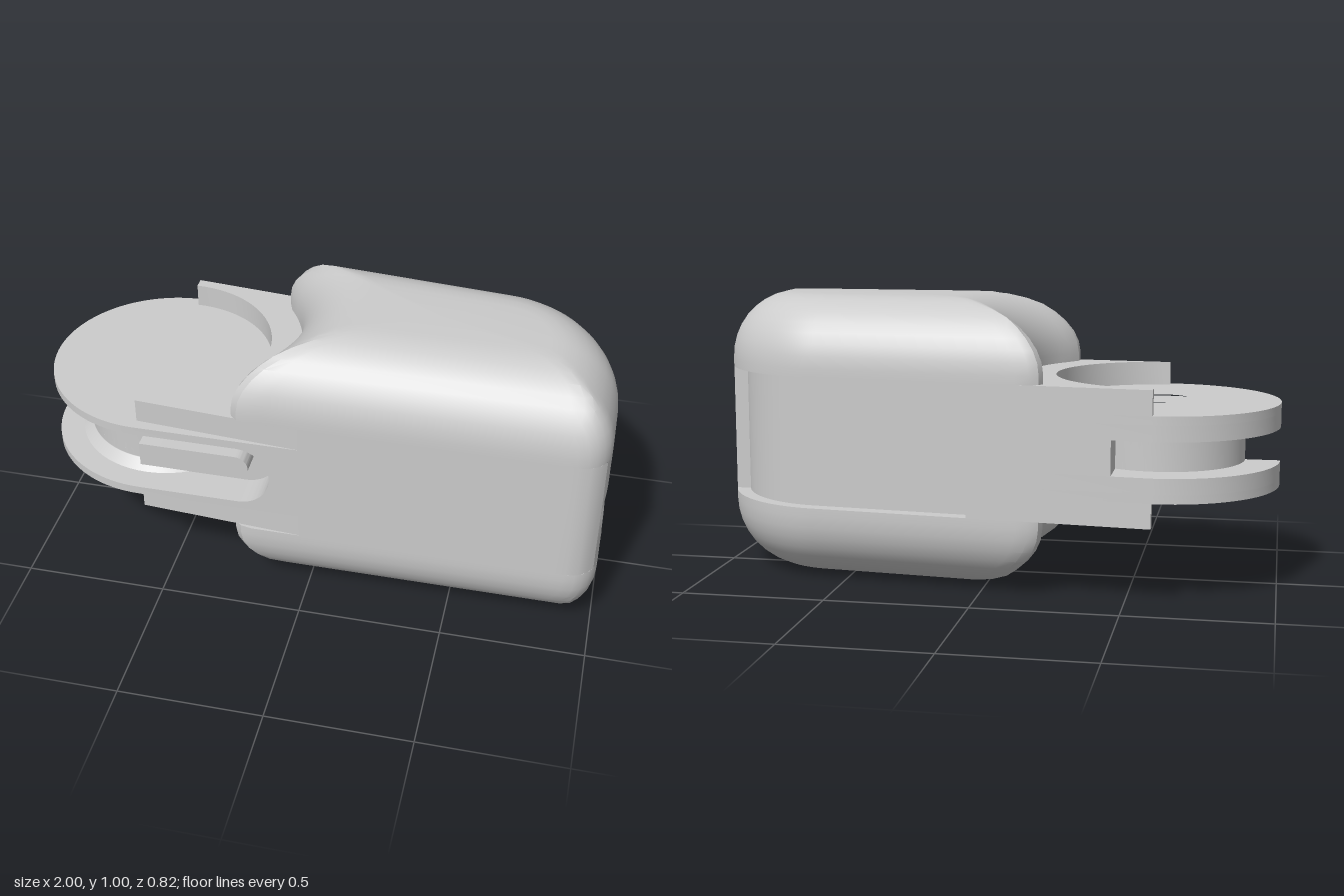
import * as THREE from 'three';
import { toCreasedNormals } from 'three/addons/utils/BufferGeometryUtils.js';

const HUB_X = -0.59, Z = 0.41, CX = 0.4, CZ = 0.05, H = 0.23;
const PI = Math.PI;
const backZ = x => -Z + 0.09 * (x - HUB_X);

// rounded intersection of two distance fields
const rmax = (a, b, r) =>
  Math.min(-r, Math.max(a, b)) + Math.hypot(Math.max(a + r, 0), Math.max(b + r, 0));

// plan outline of the housing as a distance field (negative inside)
function plan(x, z) {
  const corner = rmax((backZ(x) - z) / 1.004, x - 1, 0.4);
  const shell = rmax(corner, z - Z, 0.1);
  return rmax(shell, 0.48 - Math.hypot(x - HUB_X, z), 0.1);
}

// point where a ray from inside meets the outline inset by d
function cast(px, pz, dx, dz, d) {
  let lo = 0, hi = 1.2;
  for (let i = 0; i < 32; i++) {
    const m = (lo + hi) / 2;
    if (plan(px + dx * m, pz + dz * m) + d > 0) hi = m; else lo = m;
  }
  return [px + dx * lo, pz + dz * lo];
}
const polar = (t, d) => cast(CX, CZ, Math.cos(t), Math.sin(t), d);
const angleOf = ([x, z]) => Math.atan2(z - CZ, x - CX);
const surfX = z => cast(CX, z, 1, 0, 0)[0];

// skin between rows of points
function loft(rows, closed, crease = 0.5) {
  const n = rows[0].length, index = [];
  for (let i = 0; i < rows.length - 1; i++) {
    for (let j = 0; j < (closed ? n : n - 1); j++) {
      const k = (j + 1) % n, a = i * n, b = a + n;
      index.push(a + j, b + j, a + k, a + k, b + j, b + k);
    }
  }
  const g = new THREE.BufferGeometry();
  g.setAttribute('position', new THREE.Float32BufferAttribute(rows.flat(2), 3));
  g.setIndex(index);
  return toCreasedNormals(g, crease);
}

const arc = (r, a0, a1, n = 40) => Array.from({ length: n + 1 }, (_, i) => {
  const t = a0 + (a1 - a0) * i / n;
  return [HUB_X + r * Math.cos(t), r * Math.sin(t)];
});

// horizontal slab from [x, z] points, optionally with the axle hole
function slab(pts, y0, y1, hole = true) {
  const shape = new THREE.Shape(pts.map(([x, z]) => new THREE.Vector2(x, -z)));
  if (hole) shape.holes.push(new THREE.Path().absarc(HUB_X, 0, 0.108, 0, 2 * PI, true));
  const g = new THREE.ExtrudeGeometry(shape, { depth: y1 - y0, bevelEnabled: false, curveSegments: 24 });
  g.rotateX(-PI / 2).translate(0, y0, 0);
  return toCreasedNormals(g, 0.5);
}

export function createModel() {
  const model = new THREE.Group();
  const mat = new THREE.MeshStandardMaterial({ color: 0xcccccc });
  const add = (name, geo) => {
    const m = new THREE.Mesh(geo, mat);
    m.name = name;
    model.add(m);
  };

  // housing: rounded lower and upper shells with a ledge facing the middle band
  const N = 160, R = 0.24;
  const ring = (d, y) => Array.from({ length: N }, (_, j) => {
    const [x, z] = polar(j / N * 2 * PI, d);
    return [x, y, z];
  });
  const lower = [Array.from({ length: N }, () => [CX, 0, CZ])];
  for (let i = 0; i <= 9; i++) {
    const t = i / 9 * PI / 2;
    lower.push(ring(R * (1 - Math.sin(t)), R * (1 - Math.cos(t))));
  }
  lower.push(ring(0, 0.5 - H), ring(0.06, 0.5 - H));
  const upper = lower.map(row => row.map(([x, y, z]) => [x, 1 - y, z])).reverse();
  add('lowerShell', loft(lower, true));
  add('upperShell', loft(upper, true));

  // middle band: front wall, and back wall with a shallow window wrapping the corner
  const wall = pts => loft([0.5 - H, 0.5 + H].map(y => pts.map(([x, z]) => [x, y, z])), false);
  const between = (p, q, d, n) => {
    const a = angleOf(p), b = angleOf(q);
    return Array.from({ length: n - 1 }, (_, i) => polar(a + (b - a) * (i + 1) / n, d));
  };
  const z0 = 0.005, z1 = 0.355, depth = 0.05;
  const frontStart = [surfX(z1), z1], frontEnd = [-0.02, Z];
  add('frontWall', wall([frontStart, ...between(frontStart, frontEnd, 0, 40), frontEnd]));
  const innerA = cast(0.04, 0, 0, -1, depth), innerB = cast(CX, z0, 1, 0, depth);
  add('backWindow', wall([
    [-0.02, backZ(-0.02)], cast(0.04, 0, 0, -1, 0),
    innerA, ...between(innerA, innerB, depth, 40), innerB, [surfX(z0), z0],
  ]));

  // side wall with the blind bore and its softened lip
  const M = 48, zc = (z0 + z1) / 2, clamp = v => Math.max(-1, Math.min(1, v * 1.41422));
  const boreRow = (r, xOf) => Array.from({ length: M }, (_, j) => {
    const t = j / M * 2 * PI, z = zc + r * Math.sin(t);
    return [xOf(z), 0.5 + r * Math.cos(t), z];
  });
  const rows = [];
  for (let i = 0; i <= 5; i++) {
    const t = i / 5 * PI / 2;
    rows.push(boreRow(0.06 * Math.sin(t), () => 0.31 - 0.06 * Math.cos(t)));
  }
  rows.push(boreRow(0.06, () => 0.35), boreRow(0.15, () => 0.35));
  rows.push(boreRow(0.15, z => surfX(z) - 0.02), boreRow(0.156, z => surfX(z) - 0.006));
  rows.push(boreRow(0.17, surfX));
  rows.push(Array.from({ length: M }, (_, j) => {
    const t = j / M * 2 * PI, z = zc + (z1 - z0) / 2 * clamp(Math.sin(t));
    return [surfX(z), 0.5 + H * clamp(Math.cos(t)), z];
  }));
  add('sideBore', loft(rows, true));

  // arm layers, mirrored about mid height
  const bz = backZ(0), floor = 0.29;
  const ear = [[0, Z], [0, bz], [HUB_X, -Z], ...arc(0.37, -PI / 2, PI / 2)];
  const flange = [[0, Z], ...arc(Z, PI / 2, 1.5 * PI, 48), [0, bz]];
  const lip = [[0, floor], ...arc(floor, PI / 2, PI, 20), ...arc(Z, PI, 1.5 * PI, 24), [0, bz]];
  const mirrored = (name, pts, a, b, hole) => {
    add('upper' + name, slab(pts, 0.5 + a, 0.5 + b, hole));
    add('lower' + name, slab(pts, 0.5 - b, 0.5 - a, hole));
  };
  mirrored('Ear', ear, 0.145, H, false);
  mirrored('Flange', flange, 0.115, 0.145, true);
  mirrored('GrooveLip', lip, 0.06, 0.115, true);

  // core between the lips, leaving the narrow slot round the back
  const slotX = -0.455, slotAngle = 2 * PI - Math.acos((slotX - HUB_X) / floor);
  add('armCore', slab([[0, floor], ...arc(floor, PI / 2, slotAngle),
    [slotX, backZ(slotX)], [0, bz]], 0.44, 0.56));

  // fillets where the hub meets the flanges
  const profile = [];
  for (const s of [-1, 1]) {
    for (let i = 0; i <= 5; i++) {
      const t = (s < 0 ? i : 5 - i) / 5 * PI / 2;
      profile.push(new THREE.Vector2(0.325 - 0.035 * Math.sin(t), s * (0.08 + 0.035 * (1 - Math.cos(PI / 2 - t)))));
    }
  }
  const hub = new THREE.LatheGeometry(profile, 64);
  add('hubFillet', hub.translate(HUB_X, 0.5, 0));

  // round end of the front groove
  const end = new THREE.Shape();
  end.moveTo(0, -0.115).lineTo(0, 0.115).lineTo(-0.235, 0.115);
  end.absarc(-0.235, 0, 0.115, PI / 2, -PI / 2, true);
  const endGeo = new THREE.ExtrudeGeometry(end, { depth: Z - floor, bevelEnabled: false, curveSegments: 24 });
  add('grooveEnd', toCreasedNormals(endGeo.translate(0, 0.5, floor), 0.5));

  // raised guide bar in the groove
  const bar = new THREE.Shape();
  bar.moveTo(HUB_X, 0.045).lineTo(HUB_X, -0.045).lineTo(-0.25, -0.045);
  bar.absarc(-0.25, 0, 0.045, -PI / 2, PI / 2, false);
  const barGeo = new THREE.ExtrudeGeometry(bar, { depth: 0.1, bevelEnabled: false, curveSegments: 16 });
  add('guideBar', toCreasedNormals(barGeo.translate(0, 0.5, 0.27), 0.5));

  return model;
}
